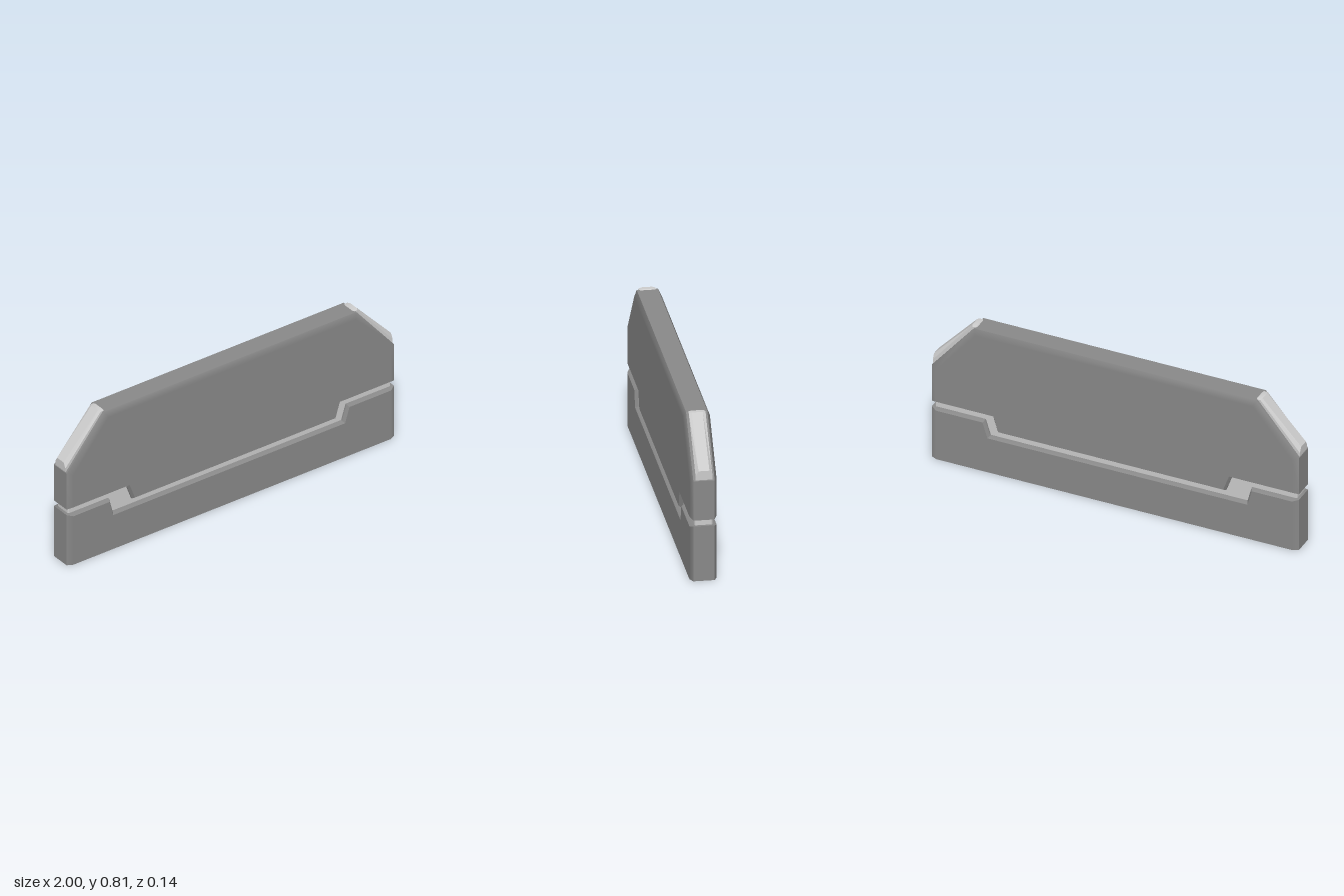
import * as THREE from 'three';
import { toCreasedNormals } from 'three/addons/utils/BufferGeometryUtils.js';

const dark = new THREE.MeshStandardMaterial({ color: 0x888888 });
const light = new THREE.MeshStandardMaterial({ color: 0xcccccc });

// Bevelled plate, symmetric in z: the rim outline spans +-rimZ and blends to
// the face outline at +-faceZ. Outlines run anticlockwise seen from +z.
function plate(rim, face, rimZ, faceZ, crease) {
  const n = rim.length;
  const rings = [[face, -faceZ], [rim, -rimZ], [rim, rimZ], [face, faceZ]];
  const pos = rings.flatMap(([outline, z]) => outline.flatMap(([x, y]) => [x, y, z]));
  const index = [];
  for (let k = 0; k < 3; k++) {
    for (let i = 0; i < n; i++) {
      const j = (i + 1) % n;
      const a = k * n + i, b = k * n + j, c = b + n, d = a + n;
      index.push(a, b, c, a, c, d);
    }
  }
  const contour = face.map(([x, y]) => new THREE.Vector2(x, y));
  for (const [a, b, c] of THREE.ShapeUtils.triangulateShape(contour, [])) {
    index.push(3 * n + a, 3 * n + b, 3 * n + c, c, b, a);
  }
  const indexed = new THREE.BufferGeometry();
  indexed.setAttribute('position', new THREE.Float32BufferAttribute(pos, 3));
  indexed.setIndex(index);
  const geo = toCreasedNormals(indexed, crease);

  // Keep the broad faces flat so that only the soft bevel carries a gradient
  const p = geo.attributes.position, nor = geo.attributes.normal;
  for (let i = 0; i < p.count; i++) {
    if (Math.abs(p.getZ(i)) > faceZ - 1e-4 && Math.abs(nor.getZ(i)) > 0.8) {
      nor.setXYZ(i, 0, 0, Math.sign(p.getZ(i)));
    }
  }
  return geo;
}

function addPart(group, name, geometry, material) {
  const mesh = new THREE.Mesh(geometry, material);
  mesh.name = name;
  group.add(mesh);
}

const mirrorX = (outline) => outline.map(([x, y]) => [-x, y]).reverse();

export function createModel() {
  const group = new THREE.Group();
  group.name = 'splitPanel';

  // Lower slab with a recessed middle; end = half length, lift = height of its top edge
  const lower = (end, lift, s) => [
    [-end, 0], [end, 0], [end, 0.275 + lift], [0.717 + s, 0.275 + lift],
    [0.69 + s, 0.19 + lift], [-0.727 - s, 0.19 + lift], [-0.75 - s, 0.275 + lift], [-end, 0.275 + lift],
  ];
  addPart(group, 'lowerSlab', plate(lower(1, 0.018, -0.008), lower(0.97, 0.008, 0), 0.053, 0.068, 0.6), dark);

  // Upper slab with a dropped middle and sloping shoulders
  const upper = (end, drop, s, shoulderY, topX, topY) => [
    [-end, 0.325 + drop], [-0.626 - s, 0.325 + drop], [-0.594 - s, 0.24 + drop],
    [0.631 + s, 0.24 + drop], [0.658 + s, 0.325 + drop], [end, 0.325 + drop],
    [end, shoulderY], [topX, topY], [-topX, topY], [-end, shoulderY],
  ];
  addPart(group, 'upperSlab',
    plate(upper(1, 0, 0.008, 0.535, 0.77, 0.81), upper(0.97, 0.01, 0, 0.524, 0.756, 0.78), 0.053, 0.068, 0.6), dark);

  // Core seen inside the groove
  const core = (x) => [[-x, 0.1], [x, 0.1], [x, 0.45], [-x, 0.45]];
  addPart(group, 'grooveCore', plate(core(0.985), core(0.98), 0.04, 0.045, 0.3), light);

  // Raised bevelled strips on the two shoulders
  const stripOuter = [[0.97, 0.54], [1, 0.54], [1, 0.588], [0.79, 0.814], [0.765, 0.814], [0.74, 0.79]];
  const stripBase = [[0.97, 0.54], [1, 0.54], [1, 0.56], [0.785, 0.81], [0.765, 0.81], [0.74, 0.79]];
  addPart(group, 'leftShoulderStrip', plate(stripOuter, stripBase, 0.027, 0.042, 0.3), light);
  addPart(group, 'rightShoulderStrip', plate(mirrorX(stripOuter), mirrorX(stripBase), 0.027, 0.042, 0.3), light);

  return group;
}
